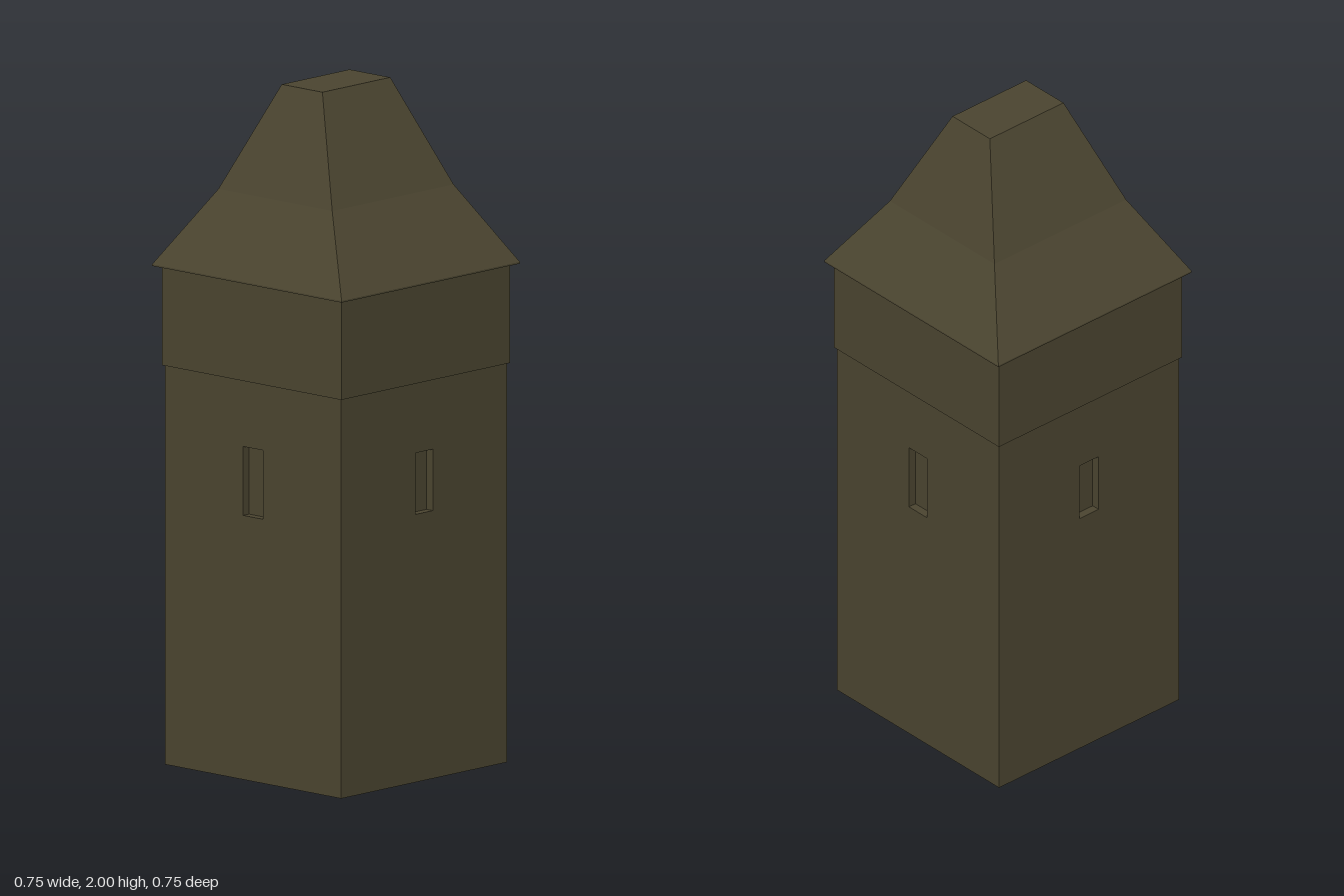
import * as THREE from 'three';

const stone = new THREE.MeshStandardMaterial({ color: 0x4b4530, side: THREE.DoubleSide });
stone.name = 'dark olive stone';

// Rectangular rings [halfX, y, halfZ] joined into a flat-sided shell, optionally capped at the last ring
function loft(rings, cap) {
  const corners = [[1, 1], [1, -1], [-1, -1], [-1, 1]];
  const points = rings.map(([x, y, z]) => corners.map(([sx, sz]) => [sx * x, y, sz * z]));
  const pos = [];
  const quad = (a, b, c, d) => pos.push(...a, ...b, ...c, ...a, ...c, ...d);
  for (let r = 0; r < rings.length - 1; r++) {
    for (let i = 0; i < 4; i++) {
      const j = (i + 1) % 4;
      quad(points[r][i], points[r][j], points[r + 1][j], points[r + 1][i]);
    }
  }
  if (cap) quad(...points[points.length - 1]);
  const geo = new THREE.BufferGeometry();
  geo.setAttribute('position', new THREE.Float32BufferAttribute(pos, 3));
  geo.computeVertexNormals();
  return geo;
}

function part(name, geometry) {
  const mesh = new THREE.Mesh(geometry, stone);
  mesh.name = name;
  return mesh;
}

const HALF = 0.347, BAND = 0.353, WALL_TOP = 1.17, BAND_TOP = 1.457;
const NICHE_DEPTH = 0.025, NICHE_Y = 0.875;

// One wall with a shallow window niche, facing +z
function wall(name, nicheHalfW, nicheHalfH) {
  const group = new THREE.Group();
  group.name = name;

  const face = new THREE.Shape();
  face.moveTo(-HALF, 0).lineTo(HALF, 0).lineTo(HALF, WALL_TOP).lineTo(-HALF, WALL_TOP).closePath();
  const hole = new THREE.Path();
  const b = NICHE_Y - nicheHalfH, t = NICHE_Y + nicheHalfH;
  hole.moveTo(-nicheHalfW, b).lineTo(-nicheHalfW, t).lineTo(nicheHalfW, t).lineTo(nicheHalfW, b).closePath();
  face.holes.push(hole);
  const panel = part('wallFace', new THREE.ShapeGeometry(face));
  panel.position.z = HALF;

  const niche = part('windowNiche', loft([
    [nicheHalfW, 0, nicheHalfH],
    [nicheHalfW, -NICHE_DEPTH, nicheHalfH],
  ], true).rotateX(Math.PI / 2));
  niche.position.set(0, NICHE_Y, HALF);

  group.add(panel, niche);
  return group;
}

export function createModel() {
  const tower = new THREE.Group();
  tower.name = 'tower';

  // Four walls, open underneath; side niches are slightly taller
  ['frontWall', 'leftWall', 'backWall', 'rightWall'].forEach((name, i) => {
    const side = i % 2 === 1;
    const w = wall(name, side ? 0.039 : 0.037, side ? 0.101 : 0.09);
    w.rotation.y = i * Math.PI / 2;
    tower.add(w);
  });

  // Slightly wider upper storey with its narrow underside ledge
  tower.add(part('upperStorey', loft([
    [HALF, WALL_TOP, HALF],
    [BAND, WALL_TOP, BAND],
    [BAND, BAND_TOP, BAND],
  ])));

  // Flared roof with eave underside, thin edge, one break and a flat top
  tower.add(part('roof', loft([
    [BAND, BAND_TOP, BAND],
    [0.373, 1.461, 0.373],
    [0.373, 1.466, 0.373],
    [0.254, 1.69, 0.224],
    [0.142, 2, 0.08],
  ], true)));

  return tower;
}
